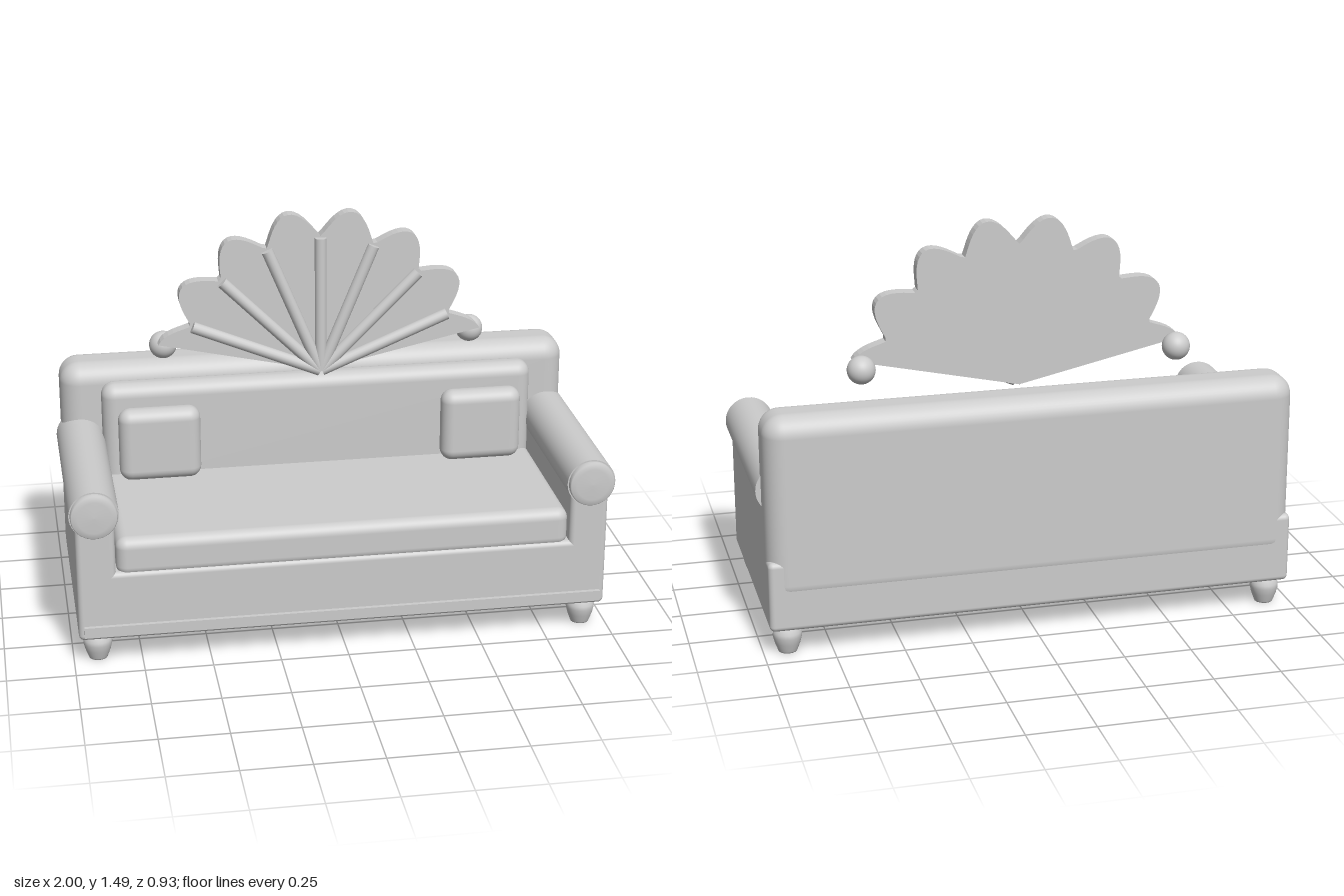
import * as THREE from 'three';
import { RoundedBoxGeometry } from 'three/addons/geometries/RoundedBoxGeometry.js';

export function createModel() {
  const model = new THREE.Group();
  model.name = 'sofaWithFan';
  const grey = new THREE.MeshStandardMaterial({ color: 0xcccccc });
  grey.name = 'light grey';

  const add = (name, geometry, x = 0, y = 0, z = 0) => {
    const mesh = new THREE.Mesh(geometry, grey);
    mesh.name = name;
    mesh.position.set(x, y, z);
    model.add(mesh);
    return mesh;
  };
  // Rounded box given by its limits on each axis
  const box = (name, [x0, x1], [y0, y1], [z0, z1], radius) =>
    add(name, new RoundedBoxGeometry(x1 - x0, y1 - y0, z1 - z0, 5, radius),
      (x0 + x1) / 2, (y0 + y1) / 2, (z0 + z1) / 2);
  const lathe = (points, segments = 32) =>
    new THREE.LatheGeometry(points.map(([r, y]) => new THREE.Vector2(r, y)), segments);

  // Body and upholstery
  box('base', [-0.98, 0.98], [0.1, 0.365], [-0.46, 0.435], 0.02);
  box('backrest', [-0.98, 0.98], [0.2, 0.9], [-0.463, -0.255], 0.075);
  box('seatCushion', [-0.835, 0.835], [0.34, 0.49], [-0.3, 0.43], 0.04);
  box('backCushion', [-0.83, 0.83], [0.4, 0.845], [-0.28, -0.17], 0.05);
  add('plinthStrip', new THREE.BoxGeometry(1.92, 0.04, 0.03), 0, 0.14, 0.435);

  const legShape = [[0, 0], [0.034, 0], [0.036, 0.005], [0.047, 0.035],
    [0.053, 0.06], [0.052, 0.075], [0.042, 0.1], [0, 0.105]];
  const capShape = [[0.085, 0], [0.085, 0.014], [0.081, 0.02], [0.06, 0.023], [0, 0.025]];

  for (const s of [-1, 1]) {
    const side = s > 0 ? 'left' : 'right';
    const span = (a, b) => (s > 0 ? [a, b] : [-b, -a]);
    // Arm: panel, roll and round end cap
    box(side + 'ArmPanel', span(0.838, 0.98), [0.1, 0.6], [-0.36, 0.435], 0.02);
    add(side + 'ArmRoll', new THREE.CylinderGeometry(0.09, 0.09, 0.78, 40), s * 0.91, 0.6, 0.05)
      .rotation.x = Math.PI / 2;
    add(side + 'ArmCap', lathe(capShape, 40), s * 0.91, 0.6, 0.44).rotation.x = Math.PI / 2;
    // Throw pillow
    box(side + 'Pillow', span(0.465, 0.775), [0.485, 0.77], [-0.18, -0.085], 0.045);
    // Feet
    add(side + 'FrontLeg', lathe(legShape, 24), s * 0.91, 0, 0.36);
    add(side + 'BackLeg', lathe(legShape, 24), s * 0.91, 0, -0.39);
    // Ball at the fan's tip
    add(side + 'FanBall', new THREE.SphereGeometry(0.052, 32, 20), s * 0.59, 0.985, -0.23);
  }

  // Scalloped fan plate; angles run from the vertical
  const step = Math.PI / 8;
  const apexY = 0.875;
  const endAngle = 3.45 * step;
  const fan = new THREE.Shape();
  fan.moveTo(0, 0);
  const count = 112;
  for (let i = 0; i <= count; i++) {
    const a = endAngle * (1 - (2 * i) / count);
    const lobe = Math.pow(Math.abs(Math.sin((a / step) * Math.PI)), 1.2);
    const r = 0.53 + 0.1 * lobe;
    fan.lineTo(Math.sin(a) * r, Math.cos(a) * r);
  }
  fan.closePath();
  add('fanPlate', new THREE.ExtrudeGeometry(fan, { depth: 0.05, bevelEnabled: false }),
    0, apexY, -0.205);

  // Seven ribs radiating from the apex
  const rib = new THREE.CylinderGeometry(0.022, 0.022, 0.52, 16);
  rib.translate(0, 0.265, 0);
  for (let i = -3; i <= 3; i++) {
    add('fanRib', rib, 0, apexY, -0.15).rotation.z = -i * step;
  }
  return model;
}
